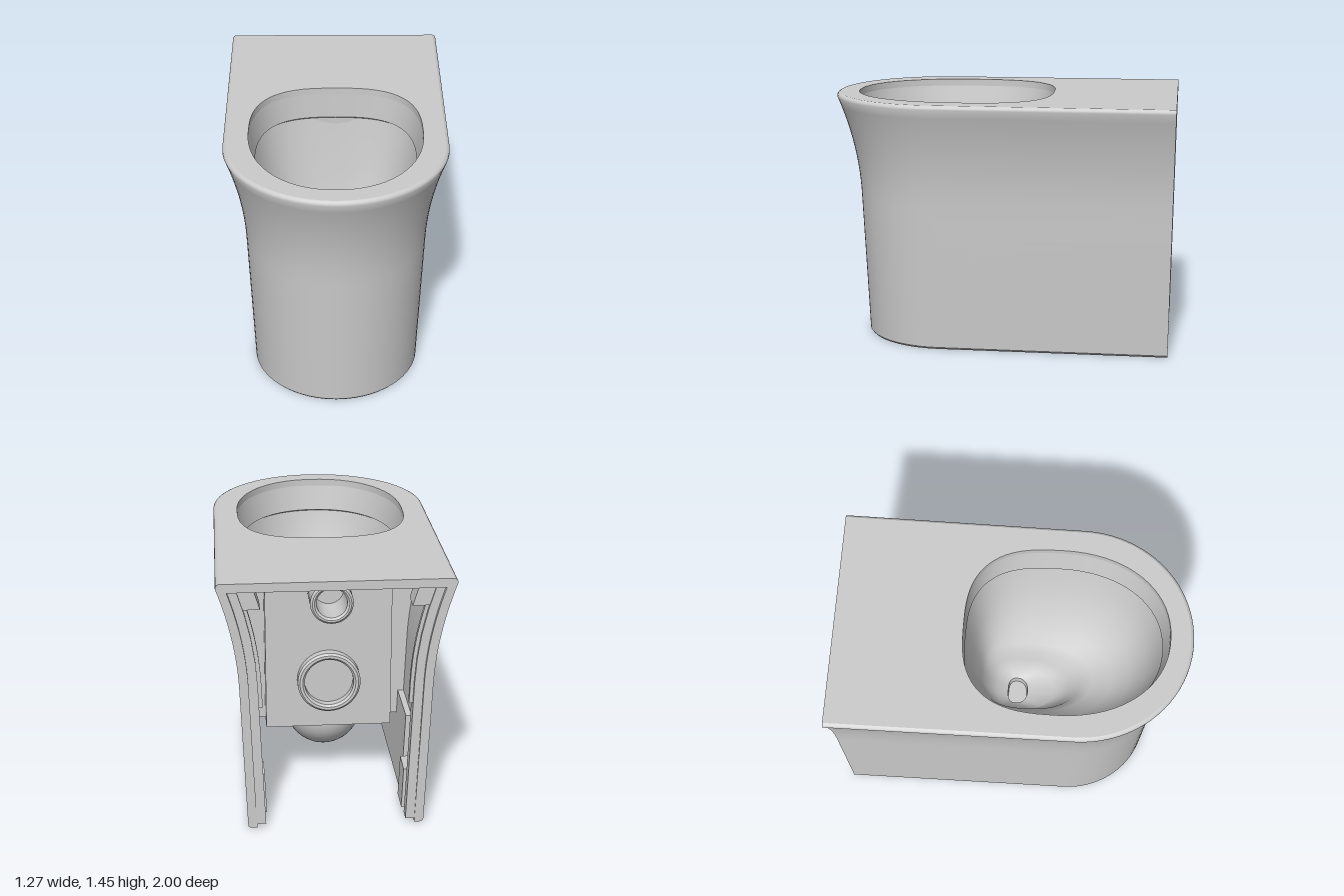
import * as THREE from 'three';
import { toCreasedNormals } from 'three/addons/utils/BufferGeometryUtils.js';

const mat = new THREE.MeshStandardMaterial({ color: 0xcccccc, roughness: 0.6 });
const V = (x, y, z) => new THREE.Vector3(x, y, z);

// Flare of the outer wall, its half width, front and back at height y
const flare = y => 0.04 * y + 0.09 * Math.max(0, (Math.min(y, 1.425) - 0.85) / 0.57) ** 2;
const halfWidth = y => 0.488 + flare(y);
const frontZ = y => 0.83 + 1.15 * flare(y);
const backZ = y => -0.98 - 0.02 * y / 1.45;

// U outline from the back of the -x side, around the front, to the back of +x
function uOutline(y, inset, zBack = backZ(y)) {
  const w = halfWidth(y) - inset, f = frontZ(y) - inset, zc = f - w, pts = [];
  pts.push(V(-w, y, zBack));
  for (let i = 0; i <= 40; i++) {
    const a = Math.PI * (1 - i / 40);
    pts.push(V((w - 0.008) * Math.cos(a), y, zc + w * Math.sin(a)));
  }
  pts.push(V(w, y, zBack));
  return pts;
}

// Closed ring of a U-shaped wall between two insets
const wall = (y, outer, inner, zBack) =>
  [...uOutline(y, outer, zBack), ...uOutline(y, inner, zBack).reverse()];

// Oval outline, squarer at the back than at the front
function oval(y, w, zf, zb) {
  const zc = zb + (zf - zb) * 0.46, pts = [];
  for (let i = 0; i < 72; i++) {
    const a = i / 72 * Math.PI * 2, c = Math.cos(a), s = -Math.sin(a);
    const e = 2 / (s < 0 ? 2.8 : 2.15);
    const z = Math.abs(s) ** e * (s < 0 ? zb - zc : zf - zc);
    pts.push(V(Math.sign(c) * w * Math.abs(c) ** e, y, zc + z));
  }
  return pts;
}

// Skin a stack of closed rings
function loft(rings, crease = 0.6) {
  const n = rings[0].length, index = [];
  for (let i = 0; i < rings.length - 1; i++) {
    for (let j = 0; j < n; j++) {
      const k = (j + 1) % n, a = i * n + j, b = i * n + k;
      index.push(a, b, b + n, a, b + n, a + n);
    }
  }
  const g = new THREE.BufferGeometry().setFromPoints(rings.flat());
  g.setIndex(index);
  return toCreasedNormals(g, crease);
}

const collapse = (ring, p) => ring.map(() => p.clone());

// Bar that follows the inside of a side wall; side is 1 or -1
function wallBar(side, y0, y1, in0, in1, z0, z1) {
  const rings = [];
  for (let i = 0; i <= 10; i++) {
    const y = y0 + (y1 - y0) * i / 10, w = halfWidth(y);
    const r = [V(w - in0, y, z1), V(w - in0, y, z0), V(w - in1, y, z0), V(w - in1, y, z1)];
    r.forEach(p => { p.x *= side; });
    rings.push(side > 0 ? r : r.reverse());
  }
  const mid = r => r[0].clone().add(r[2]).multiplyScalar(0.5);
  rings.unshift(collapse(rings[0], mid(rings[0])));
  rings.push(collapse(rings[0], mid(rings[rings.length - 1])));
  return loft(rings);
}

export function createModel() {
  const model = new THREE.Group();
  const add = (name, geometry) => {
    const m = new THREE.Mesh(geometry, mat);
    m.name = name;
    model.add(m);
    return m;
  };
  const addBox = (name, x, y0, y1, z0, z1) =>
    add(name, new THREE.BoxGeometry(2 * x, y1 - y0, z1 - z0))
      .position.set(0, (y0 + y1) / 2, (z0 + z1) / 2);

  // Outer shell with a rounded top edge, open at the back and below
  const shell = [wall(0, 0.03, 0.03), wall(0, 0.01, 0.05), wall(0.012, 0, 0.05)];
  for (let i = 1; i <= 28; i++) shell.push(wall(0.012 + 1.413 * i / 28, 0, 0.05));
  shell.push(wall(1.436, 0.002, 0.05), wall(1.444, 0.008, 0.05), wall(1.45, 0.02, 0.05));
  add('shell', loft(shell));

  // Thicker skirt along the lower inside of the shell
  const skirt = [0.005, 0.12, 0.24, 0.36, 0.5].map(y => wall(y, 0.04, 0.085, -0.65));
  skirt.unshift(wall(0.005, 0.06, 0.06, -0.65));
  skirt.push(wall(0.5, 0.06, 0.06, -0.65));
  add('innerSkirt', loft(skirt));

  // Top deck with the bowl opening
  const flat = pts => pts.map(p => new THREE.Vector2(p.x, -p.z));
  const deck = new THREE.Shape(flat(uOutline(1.45, 0.02, -1)));
  deck.holes.push(new THREE.Path(flat(oval(0, 0.49, 0.87, -0.28))));
  const deckGeo = new THREE.ExtrudeGeometry(deck, { depth: 0.05, bevelEnabled: false });
  deckGeo.rotateX(-Math.PI / 2).translate(0, 1.4, 0);
  add('deck', toCreasedNormals(deckGeo, 0.6));

  // Bowl: rim wall, undercut, basin, sump and drain (y, half width, front, back)
  const bowl = [
    [1.41, 0.49, 0.87, -0.28], [1.26, 0.46, 0.84, -0.275], [1.25, 0.478, 0.858, -0.285],
    [1.1, 0.445, 0.825, -0.265], [0.95, 0.395, 0.77, -0.24], [0.82, 0.33, 0.69, -0.22],
    [0.73, 0.265, 0.59, -0.2], [0.67, 0.215, 0.47, -0.19], [0.63, 0.185, 0.4, -0.18],
    [0.54, 0.165, 0.34, -0.15], [0.46, 0.13, 0.25, -0.1], [0.42, 0.08, 0.085, -0.035],
    [0.37, 0.078, 0.08, -0.032]
  ].map(r => oval(...r));
  bowl.push(collapse(bowl[0], V(0, 0.37, 0.025)));
  add('bowl', loft(bowl));

  // Underside of the bowl, closed to the shell
  const body = [0.357, 0.6, 0.85, 1.0, 1.15, 1.3, 1.41].map(y => uOutline(y, 0.048, -0.3));
  body.unshift(collapse(body[0], V(0, 0.357, 0.2)));
  add('bowlBody', loft(body));
  const half = new THREE.SphereGeometry(0.23, 40, 20, 0, Math.PI * 2, Math.PI * 0.4, Math.PI * 0.6);
  const trap = add('trapBulge', half);
  trap.scale.z = 1.15;
  trap.position.set(0, 0.29, 0);

  // Rear housing with the two pipe collars
  addBox('rearHousing', 0.36, 0.357, 1.41, -0.445, -0.28);
  addBox('inletHousing', 0.2, 1.3, 1.41, -0.66, -0.44);
  const collar = (name, y, z, outer, inner, length) => {
    const b = 0.012;
    const profile = [[outer, 0], [outer, length - b], [outer - b, length], [inner + b, length],
      [inner, length - b], [inner, 0.005], [0, 0.005]].map(p => new THREE.Vector2(...p));
    const g = new THREE.LatheGeometry(profile, 40).rotateX(-Math.PI / 2);
    add(name, toCreasedNormals(g, 0.5)).position.set(0, y, z);
  };
  collar('outletCollar', 0.65, -0.445, 0.18, 0.14, 0.06);
  collar('inletCollar', 1.2, -0.445, 0.12, 0.085, 0.235);

  // Stiffening on both inner side walls
  for (const side of [1, -1]) {
    const tag = side > 0 ? 'left' : 'right';
    add(tag + 'Jamb', wallBar(side, 0.02, 1.405, 0.04, 0.1, -0.975, -0.9));
    add(tag + 'Clip', wallBar(side, 0.72, 1.3, 0.09, 0.12, -0.955, -0.925));
    add(tag + 'CornerBlock', wallBar(side, 1.29, 1.405, 0.04, 0.19, -0.965, -0.84));
    add(tag + 'FixingBlock', wallBar(side, 0.03, 0.27, 0.04, 0.11, -0.86, -0.7));
  }
  return model;
}
